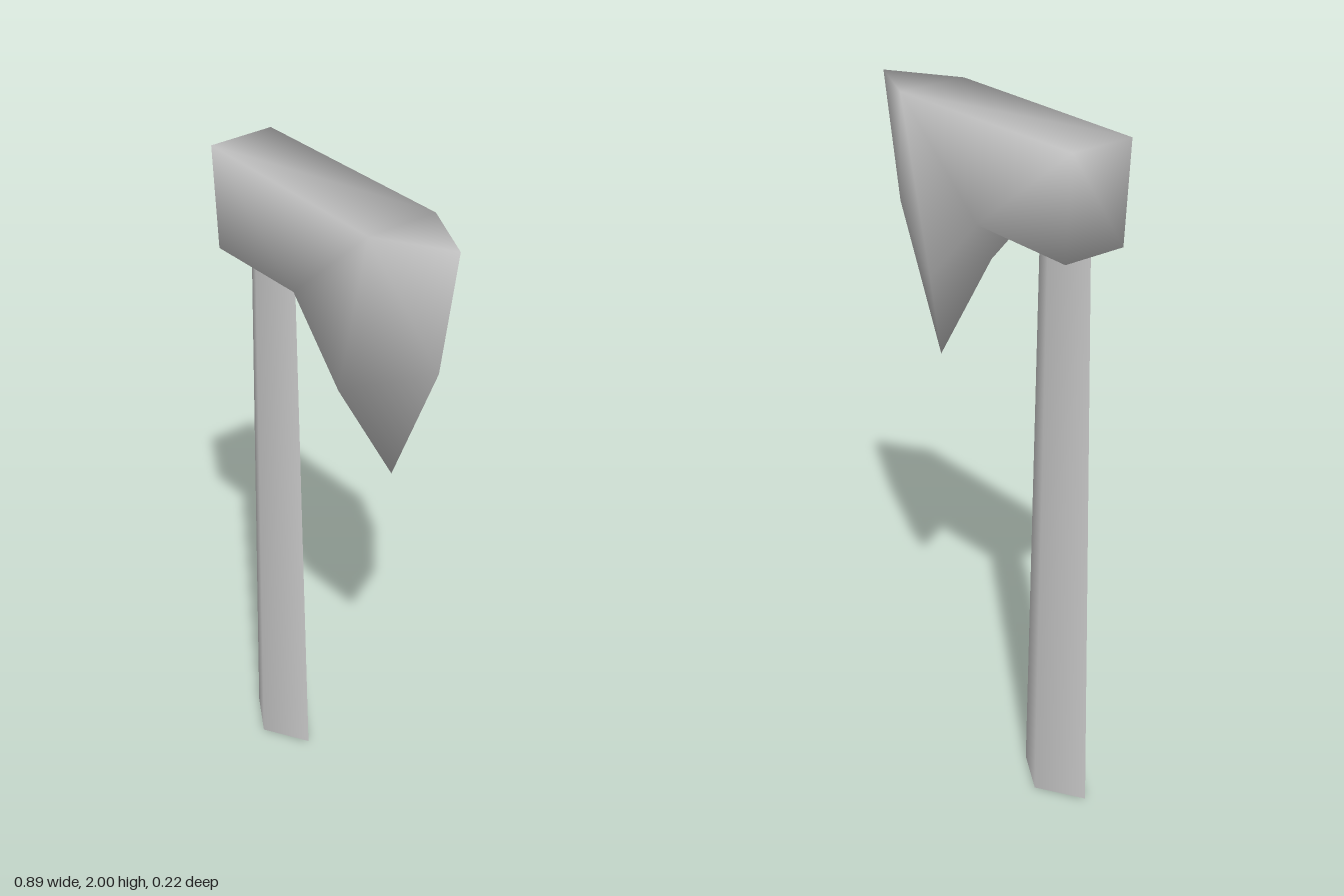
import * as THREE from 'three';

export function createModel() {
  const group = new THREE.Group();
  const grey = new THREE.MeshStandardMaterial({ color: 0xcccccc });
  grey.name = 'light grey';

  // Tapered four-sided handle, flattened front to back
  const handleGeometry = new THREE.CylinderGeometry(0.1, 0.135, 1.72, 4);
  handleGeometry.scale(1, 1, 0.59);
  handleGeometry.translate(-0.315, 0.86, 0);
  const handle = new THREE.Mesh(handleGeometry, grey);
  handle.name = 'handle';
  group.add(handle);

  // Axe head: paired side points, then the shared cutting edge
  const sidePoints = [
    [-0.45, 2, 0.1],      // 0 top of the poll
    [-0.43, 1.7, 0.1],    // 1 bottom of the poll
    [-0.08, 1.71, 0.105], // 2 start of the beard
    [0.12, 1.5, 0.11],    // 3 beard
    [0.24, 2, 0.11],      // 4 top of the bevel
  ];
  const edgePoints = [[0.445, 2, -0.015], [0.385, 1.63, -0.01], [0.19, 1.22, -0.02]];
  const positions = [
    ...sidePoints.flat(),
    ...sidePoints.map(([x, y, z]) => [x, y, -z]).flat(),
    ...edgePoints.flat(),
  ];

  // Both cheeks and bevels; the back side mirrors the front
  const cheek = [[0, 1, 2], [0, 2, 4], [4, 2, 3], [4, 3, 11], [4, 11, 10], [3, 12, 11]];
  const index = [];
  const back = (i) => (i < 5 ? i + 5 : i);
  for (const [a, b, c] of cheek) index.push(a, b, c, back(a), back(c), back(b));

  // Poll, underside and top strips between the cheeks
  for (const [a, b] of [[0, 1], [1, 2], [2, 3], [4, 0]]) {
    index.push(a, a + 5, b, b, a + 5, b + 5);
  }
  // Ends closing onto the cutting edge
  index.push(4, 10, 9, 3, 8, 12);

  const headGeometry = new THREE.BufferGeometry();
  headGeometry.setAttribute('position', new THREE.Float32BufferAttribute(positions, 3));
  headGeometry.setIndex(index);
  headGeometry.computeVertexNormals();
  const head = new THREE.Mesh(headGeometry, grey);
  head.name = 'axeHead';
  group.add(head);

  return group;
}
